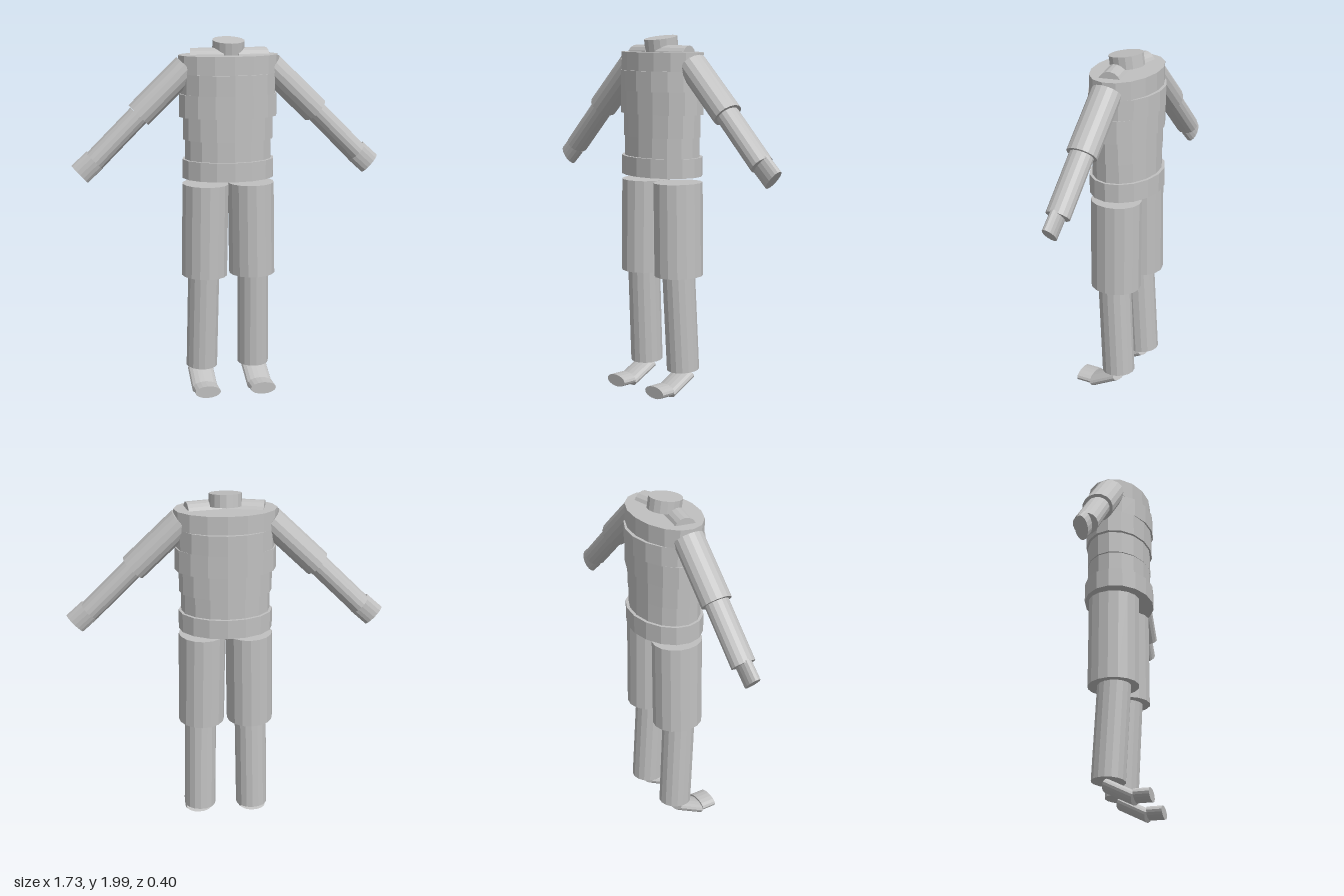
import * as THREE from 'three';

const SIDES = 16;

// Closed elliptic cylinder from point a to point b; rx lies nearest world x.
function segment(name, a, b, rx, rz, material) {
  const p = new THREE.Vector3(...a), q = new THREE.Vector3(...b);
  const axis = q.clone().sub(p);
  const length = axis.length();
  axis.normalize();
  const across = new THREE.Vector3(1, 0, 0).addScaledVector(axis, -axis.x).normalize();
  const depth = new THREE.Vector3().crossVectors(across, axis);
  const geometry = new THREE.CylinderGeometry(1, 1, length, SIDES);
  geometry.scale(rx, 1, rz);
  geometry.applyMatrix4(new THREE.Matrix4().makeBasis(across, axis, depth));
  const mesh = new THREE.Mesh(geometry, material);
  mesh.name = name;
  mesh.position.copy(p.add(q).multiplyScalar(0.5));
  return mesh;
}

export function createModel() {
  const model = new THREE.Group();
  model.name = 'headlessBody';
  const grey = new THREE.MeshStandardMaterial({ color: 0xc0c0c0, flatShading: true });
  grey.name = 'light grey';

  // Torso rings: name, bottom, top, half width, half depth
  const rings = [
    ['pelvis', 1.23, 1.335, 0.257, 0.192],
    ['waist', 1.335, 1.445, 0.242, 0.175],
    ['abdomen', 1.445, 1.57, 0.253, 0.175],
    ['lowerChest', 1.57, 1.695, 0.274, 0.184],
    ['chest', 1.695, 1.805, 0.265, 0.193],
    ['upperChest', 1.805, 1.905, 0.277, 0.175],
  ];
  const torso = new THREE.Group();
  torso.name = 'torso';
  for (const [name, y0, y1, rx, rz] of rings) {
    torso.add(segment(name, [0, y0, -0.01], [0, y1, -0.01], rx, rz, grey));
  }
  model.add(torso);

  // Neck, tipped slightly forward
  model.add(segment('neck', [0, 1.915, -0.01], [0, 1.983, 0], 0.088, 0.095, grey));

  // Paired parts: name, start, end, half width, half depth
  const paired = [
    ['Collarbone', [0.03, 1.885, 0.022], [0.208, 1.882, -0.014], 0.062, 0.06],
    ['UpperArm', [0.233, 1.839, -0.013], [0.497, 1.585, -0.013], 0.077, 0.085],
    ['Forearm', [0.497, 1.585, -0.013], [0.741, 1.343, -0.013], 0.06, 0.067],
    ['Hand', [0.738, 1.349, -0.012], [0.823, 1.272, -0.012], 0.065, 0.034],
    ['Thigh', [0.129, 1.195, -0.01], [0.137, 0.675, -0.01], 0.129, 0.142],
    ['Shin', [0.142, 0.685, -0.004], [0.15, 0.135, -0.032], 0.089, 0.093],
    ['Foot', [0.157, 0.112, -0.04], [0.159, 0.032, 0.113], 0.073, 0.034],
    ['Toes', [0.159, 0.046, 0.115], [0.159, 0.046, 0.2], 0.073, 0.034],
  ];
  for (const side of [1, -1]) {
    const mirror = ([x, y, z]) => [side * x, y, z];
    for (const [name, a, b, rx, rz] of paired) {
      model.add(segment((side > 0 ? 'left' : 'right') + name, mirror(a), mirror(b), rx, rz, grey));
    }
  }
  return model;
}
